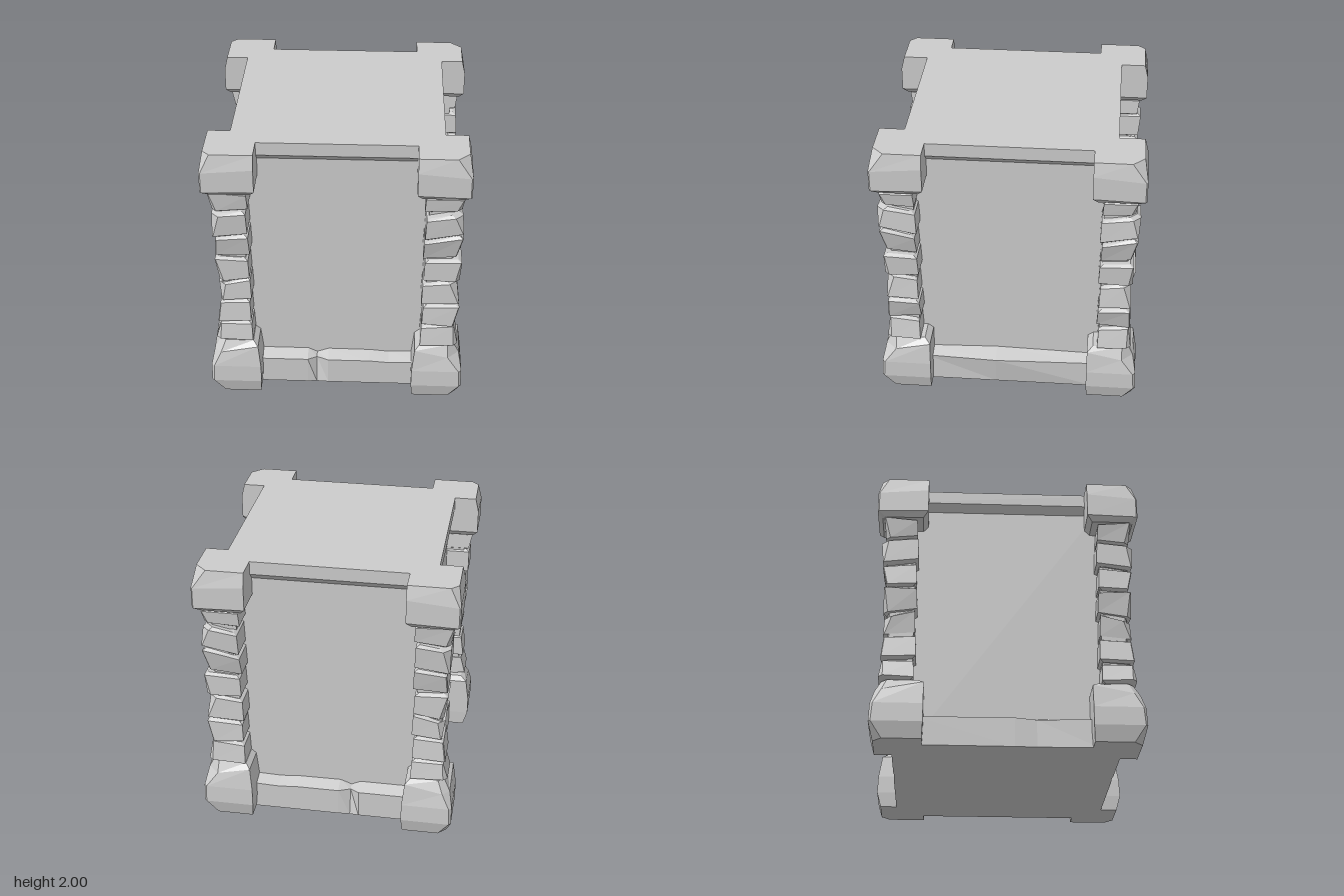
import * as THREE from 'three';

const material = new THREE.MeshStandardMaterial({ color: 0xcccccc, flatShading: true });

// Closed faceted solid through rings of [x, y, z] points, capped at both ends.
function loft(name, rings) {
  const pos = [];
  const n = rings[0].length;
  const tri = (a, b, c) => pos.push(...a, ...b, ...c);
  for (let k = 0; k < rings.length - 1; k++) {
    for (let i = 0; i < n; i++) {
      const j = (i + 1) % n;
      const [a, b, c, d] = [rings[k][i], rings[k][j], rings[k + 1][j], rings[k + 1][i]];
      tri(a, b, c);
      tri(a, c, d);
    }
  }
  const first = rings[0], last = rings[rings.length - 1];
  for (let i = 1; i < n - 1; i++) {
    tri(first[0], first[i + 1], first[i]);
    tri(last[0], last[i], last[i + 1]);
  }
  const geometry = new THREE.BufferGeometry();
  geometry.setAttribute('position', new THREE.Float32BufferAttribute(pos, 3));
  geometry.computeVertexNormals();
  const mesh = new THREE.Mesh(geometry, material);
  mesh.name = name;
  return mesh;
}

// Square ring with its outer corner cut by c, placed in the quadrant (sx, sz).
function cornerRing(sx, sz, { xi, xo, zi, zo, yi, yo = yi, c }) {
  const ring = [
    [xi, yi, zi], [xi, yi, zo], [xo - c, yo, zo], [xo, yo, zo - c], [xo, yi, zi],
  ].map(([x, y, z]) => [x * sx, y, z * sz]);
  return sx * sz < 0 ? ring.reverse() : ring;
}

// Stones of each pillar, top to bottom:
// [bottom y inner, bottom y outer, top y inner, top y outer, x bottom, x top, z bottom, z top]
const RIGHT_HAND = [
  [1.56, 1.54, 1.67, 1.69, 0.845, 0.87, 0.865, 0.88],
  [1.37, 1.34, 1.53, 1.51, 0.85, 0.85, 0.88, 0.895],
  [1.18, 1.17, 1.33, 1.31, 0.84, 0.83, 0.85, 0.88],
  [0.99, 0.96, 1.13, 1.14, 0.82, 0.845, 0.865, 0.865],
  [0.81, 0.79, 0.96, 0.92, 0.81, 0.83, 0.86, 0.855],
  [0.62, 0.61, 0.77, 0.76, 0.845, 0.825, 0.87, 0.855],
  [0.45, 0.46, 0.58, 0.58, 0.865, 0.83, 0.88, 0.86],
];
const LEFT_HAND = [
  [1.57, 1.58, 1.67, 1.67, 0.85, 0.865, 0.865, 0.875],
  [1.36, 1.41, 1.51, 1.54, 0.87, 0.86, 0.89, 0.9],
  [1.18, 1.20, 1.32, 1.37, 0.83, 0.87, 0.85, 0.89],
  [1.01, 1.00, 1.15, 1.16, 0.86, 0.87, 0.87, 0.87],
  [0.80, 0.81, 0.95, 0.97, 0.865, 0.845, 0.865, 0.86],
  [0.63, 0.61, 0.76, 0.77, 0.83, 0.87, 0.87, 0.86],
  [0.44, 0.45, 0.58, 0.60, 0.87, 0.84, 0.88, 0.86],
];

function cornerPillar(sx, sz) {
  const g = new THREE.Group();
  g.name = 'cornerPillar';
  const ring = (o) => cornerRing(sx, sz, o);

  // Recessed post seen in the joints
  g.add(loft('pillarCore', [0.38, 1.72].map((y) =>
    ring({ xi: 0.63, xo: 0.81, zi: 0.65, zo: 0.83, yi: y, c: 0.01 }))));

  // Uneven stacked stones with bevelled beds and chipped corners
  (sx > 0 ? LEFT_HAND : RIGHT_HAND).forEach(([bi, bo, ti, to, xb, xt, zb, zt], i) => {
    const cb = i % 3 === 0 ? 0.03 : 0.006;
    const ct = i % 3 === 1 ? 0.05 : 0.006;
    const xi = 0.6 + 0.008 * (i % 2), zi = 0.63 + 0.01 * ((i + 1) % 2);
    const e = 0.025;
    const bottom = { xi, xo: xb, zi, zo: zb, yi: bi, yo: bo, c: cb };
    const top = { xi: xi + 0.006, xo: xt, zi: zi + 0.006, zo: zt, yi: ti, yo: to, c: ct };
    const inset = (r, dy) => ({
      xi: r.xi + e, xo: r.xo - e, zi: r.zi + e, zo: r.zo - e, yi: r.yi + dy, yo: r.yo + dy, c: r.c,
    });
    g.add(loft('pillarStone', [inset(bottom, -0.015), bottom, top, inset(top, 0.015)].map(ring)));
  });

  // Large foot block
  const cut = sx > 0 ? 0.08 : 0.05;
  g.add(loft('footBlock', [
    { xi: 0.555, xo: 0.875, zi: 0.575, zo: 0.90, yi: 0, c: 0.06 },
    { xi: 0.545, xo: 0.908, zi: 0.57, zo: 0.93, yi: 0.11, c: 0.015 },
    { xi: 0.547, xo: 0.908, zi: 0.57, zo: 0.925, yi: 0.24, c: 0.02 },
    { xi: 0.565, xo: 0.885, zi: 0.57, zo: 0.90, yi: 0.405, yo: 0.35, c: cut },
    { xi: 0.60, xo: 0.84, zi: 0.61, zo: 0.86, yi: 0.435, c: 0.04 },
  ].map(ring)));

  // Large cap block
  g.add(loft('capBlock', [
    { xi: 0.58, xo: 0.875, zi: 0.605, zo: 0.895, yi: 1.69, c: 0.02 },
    { xi: 0.545, xo: 0.908, zi: 0.57, zo: 0.93, yi: 1.73, yo: 1.72, c: 0.01 },
    { xi: 0.545, xo: 0.908, zi: 0.57, zo: 0.93, yi: 1.9, yo: 1.87, c: 0.01 },
    { xi: 0.545, xo: 0.885, zi: 0.57, zo: 0.905, yi: 2, c: cut },
  ].map(ring)));
  return g;
}

// Plinth along one side; sections are [along, ledge depth, ledge y, wall y, foot depth]
function plinth(name, sections, angle) {
  const mesh = loft(name, sections.map(([x, zt, yt, yw, zb]) =>
    [[x, 0, 0.6], [x, yw, 0.675], [x, yt, zt], [x, 0, zb]]));
  mesh.rotation.y = angle;
  return mesh;
}

export function createModel() {
  const model = new THREE.Group();
  model.name = 'stoneBlock';

  // Plain wall core
  const walls = new THREE.Mesh(new THREE.BoxGeometry(1.36, 1.9, 1.36), material);
  walls.position.y = 0.95;
  walls.name = 'walls';
  model.add(walls);

  // Top slab with undercut rim
  const square = (r, y) => [[-r, y, r], [r, y, r], [r, y, -r], [-r, y, -r]];
  model.add(loft('topSlab', [square(0.68, 1.855), square(0.73, 1.905), square(0.73, 2)]));

  // Front and back plinths, cracked off-centre
  const cracked = [
    [-0.62, 0.78, 0.205, 0.237, 0.78],
    [-0.215, 0.78, 0.205, 0.237, 0.78],
    [-0.15, 0.73, 0.195, 0.205, 0.775],
    [-0.065, 0.78, 0.205, 0.237, 0.78],
    [0.24, 0.78, 0.205, 0.235, 0.78],
    [0.38, 0.78, 0.195, 0.223, 0.78],
    [0.62, 0.78, 0.205, 0.232, 0.78],
  ];
  model.add(plinth('frontPlinth', cracked, 0));
  const mirrored = cracked.map(([x, ...rest]) => [-x, ...rest]).reverse();
  model.add(plinth('backPlinth', mirrored, Math.PI));

  // Side plinths, one bulging and one slightly worn
  model.add(plinth('leftPlinth', [
    [-0.62, 0.77, 0.21, 0.237, 0.77],
    [-0.1, 0.805, 0.22, 0.255, 0.77],
    [0.62, 0.77, 0.21, 0.237, 0.77],
  ], Math.PI / 2));
  model.add(plinth('rightPlinth', [
    [-0.62, 0.762, 0.205, 0.237, 0.762],
    [0.05, 0.756, 0.21, 0.24, 0.76],
    [0.2, 0.745, 0.2, 0.23, 0.755],
    [0.62, 0.762, 0.205, 0.237, 0.762],
  ], -Math.PI / 2));

  for (const sx of [-1, 1]) for (const sz of [-1, 1]) model.add(cornerPillar(sx, sz));
  return model;
}
